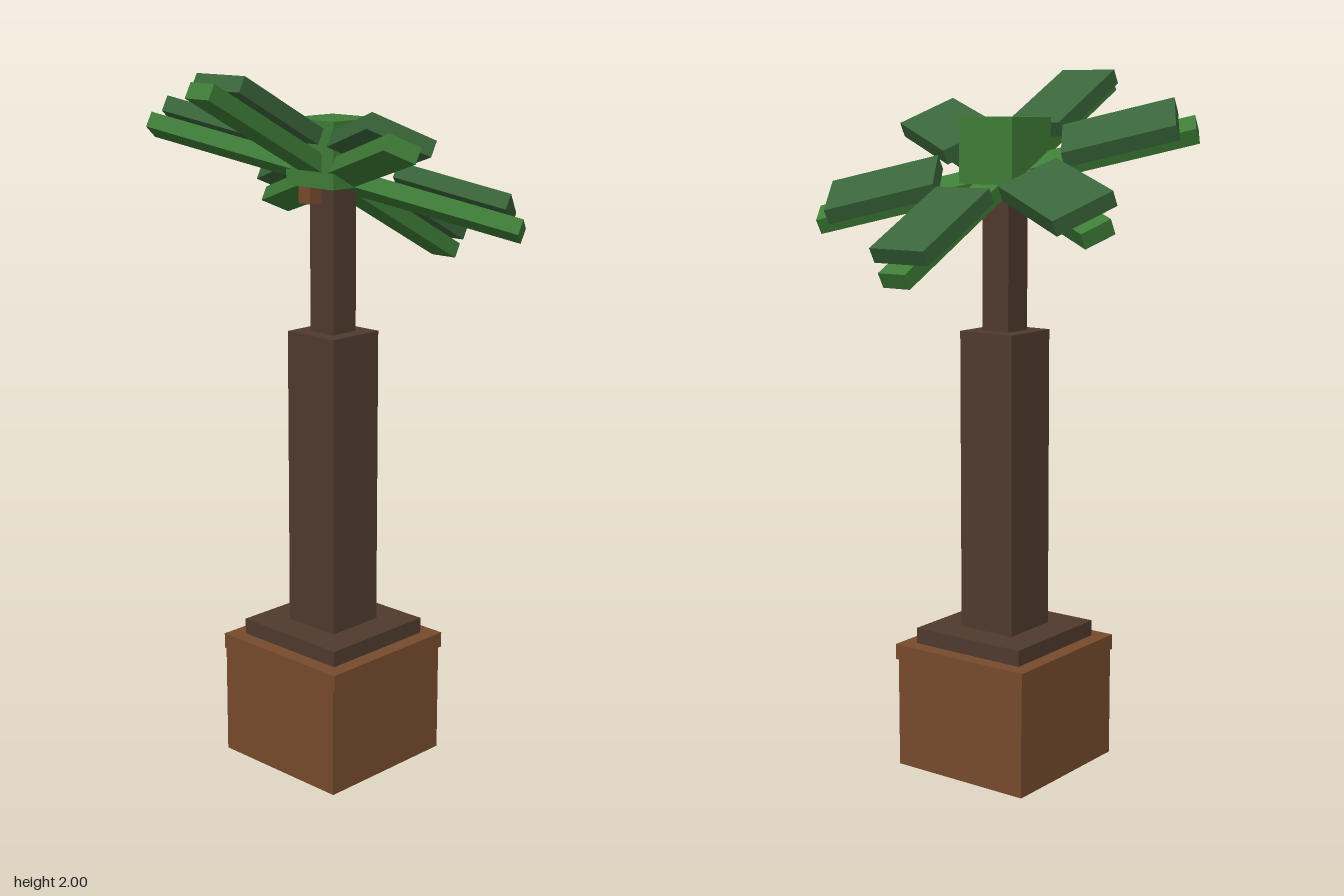
import * as THREE from 'three';

const material = (name, color) => {
  const m = new THREE.MeshStandardMaterial({ color });
  m.name = name;
  return m;
};

export function createModel() {
  const clay = material('clay brown', 0x774b2c);
  const bark = material('dark bark', 0x4f3a2e);
  const green = material('stem green', 0x3f7d37);
  const leafGreen = material('leaf green', 0x3a663a);

  const model = new THREE.Group();
  model.name = 'pottedPalm';

  const box = (parent, name, mat, size, position) => {
    const mesh = new THREE.Mesh(new THREE.BoxGeometry(...size), mat);
    mesh.name = name;
    mesh.position.set(...position);
    parent.add(mesh);
    return mesh;
  };

  // Pot, with a slightly wider rim, and soil
  box(model, 'potBody', clay, [0.44, 0.32, 0.445], [0, 0.16, 0.0025]);
  box(model, 'potRim', clay, [0.452, 0.045, 0.452], [0, 0.3425, 0]);
  box(model, 'soil', bark, [0.364, 0.046, 0.364], [0, 0.388, 0]);

  // Trunk in two steps, with the crown block on top
  box(model, 'lowerTrunk', bark, [0.18, 0.864, 0.18], [0, 0.843, 0]);
  box(model, 'upperTrunk', bark, [0.09, 0.42, 0.09], [0, 1.485, 0]);
  box(model, 'crownBlock', green, [0.182, 0.182, 0.182], [0, 1.777, 0]);

  // Small fruit under the crown at the front
  box(model, 'fruit', clay, [0.045, 0.047, 0.045], [-0.0225, 1.663, 0.0675]);

  // Six fronds in one plane, tilted up at the front
  const crown = new THREE.Group();
  crown.name = 'crown';
  crown.position.y = 1.7075;
  crown.rotation.x = -THREE.MathUtils.degToRad(28);
  model.add(crown);

  for (let i = 0; i < 6; i++) {
    const frond = new THREE.Group();
    frond.name = 'frond';
    frond.rotation.y = (i * Math.PI) / 3;
    box(frond, 'stem', green, [0.09, 0.045, 0.546], [0, 0, 0.273]);
    box(frond, 'leaf', leafGreen, [0.182, 0.045, 0.318], [0, 0.045, 0.341]);
    crown.add(frond);
  }

  return model;
}
